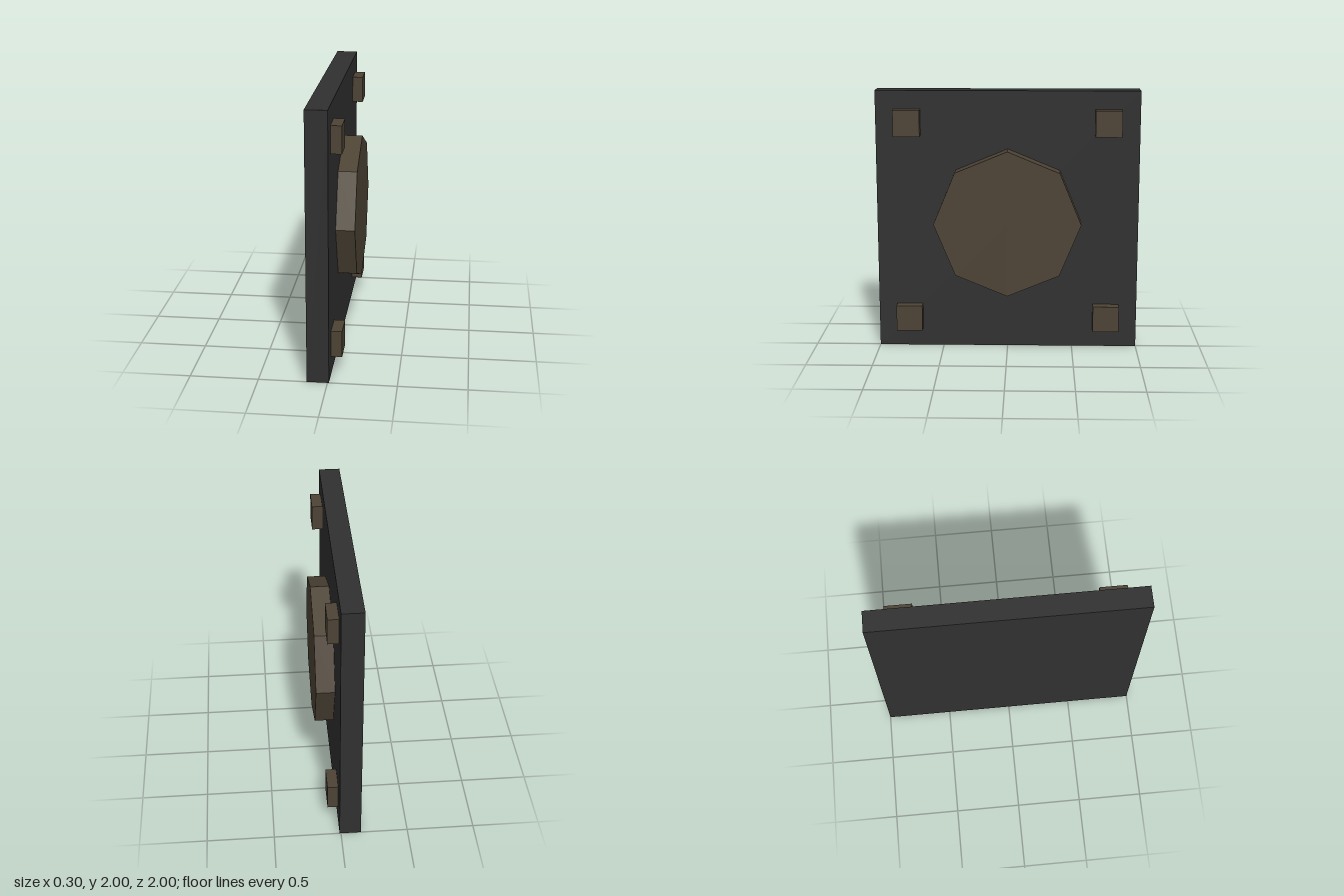
import * as THREE from 'three';

export function createModel() {
  const model = new THREE.Group();
  model.name = 'wallPanel';

  const charcoal = new THREE.MeshStandardMaterial({ color: 0x303030 });
  charcoal.name = 'charcoal';
  const bronze = new THREE.MeshStandardMaterial({ color: 0x4d4335, flatShading: true });
  bronze.name = 'bronze';

  const add = (name, geometry, material, x, y, z) => {
    const mesh = new THREE.Mesh(geometry, material);
    mesh.name = name;
    mesh.position.set(x, y, z);
    model.add(mesh);
    return mesh;
  };

  // Square backing plate, its face at x = 0.01
  add('backPlate', new THREE.BoxGeometry(0.16, 2, 2), charcoal, -0.07, 1, 0);

  // Octagonal boss in the middle, corners on the axes
  const boss = new THREE.CylinderGeometry(0.56, 0.56, 0.14, 8).rotateZ(-Math.PI / 2);
  add('octagonBoss', boss, bronze, 0.08, 1, 0);

  // Square stud in each corner
  const stud = new THREE.BoxGeometry(0.08, 0.2, 0.2);
  for (const sy of [-1, 1]) {
    for (const sz of [-1, 1]) {
      add(`${sy > 0 ? 'upper' : 'lower'}${sz > 0 ? 'Front' : 'Back'}Stud`, stud, bronze, 0.05, 1 + sy * 0.76, sz * 0.76);
    }
  }
  return model;
}
